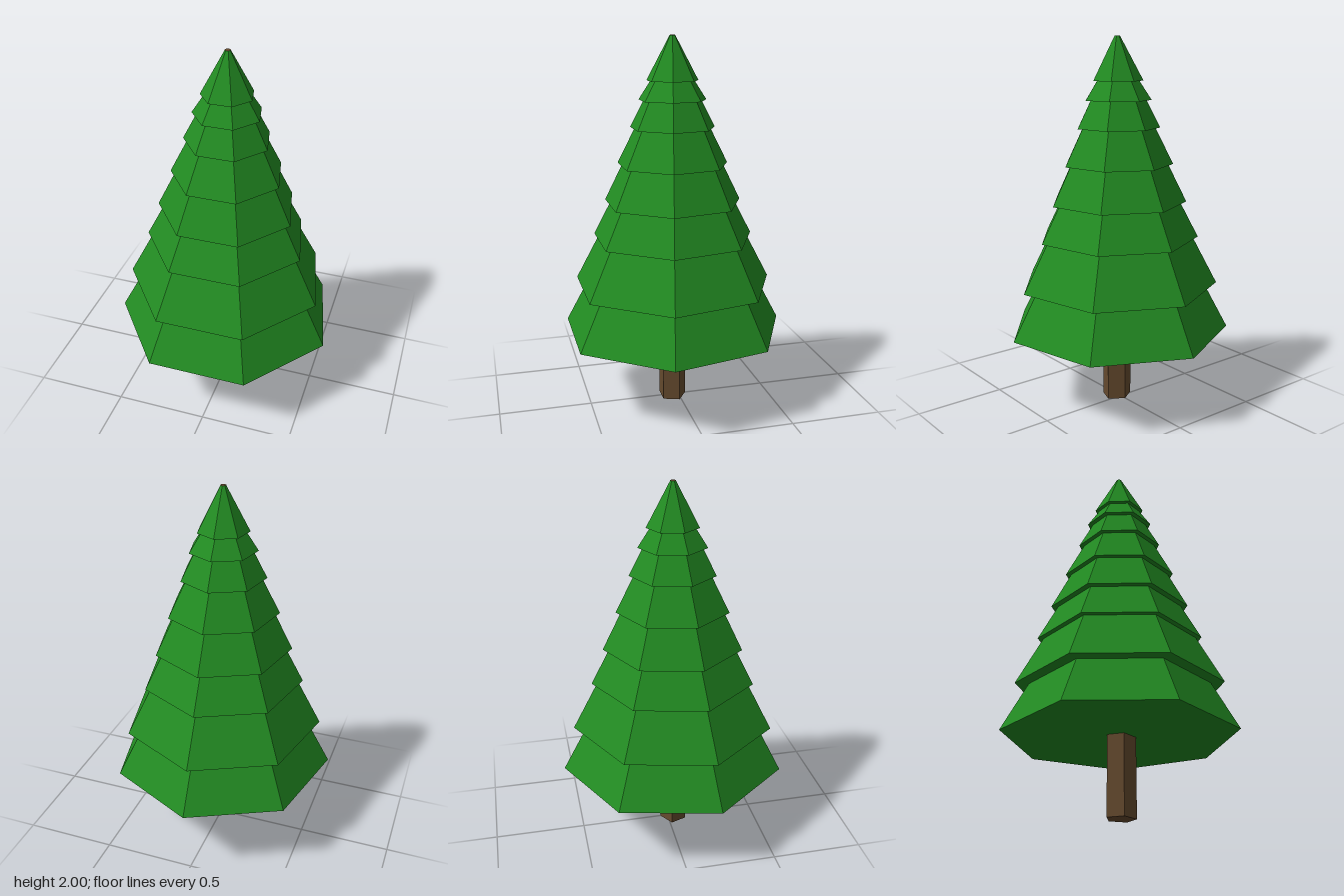
import * as THREE from 'three';

export function createModel() {
  const tree = new THREE.Group();
  tree.name = 'pineTree';

  const green = new THREE.MeshStandardMaterial({ color: 0x228b22, flatShading: true });
  green.name = 'needleGreen';
  const brown = new THREE.MeshStandardMaterial({ color: 0x654a2e, flatShading: true });
  brown.name = 'barkBrown';

  const add = (name, geometry, material, z) => {
    const mesh = new THREE.Mesh(geometry, material);
    mesh.name = name;
    mesh.position.z = z;
    tree.add(mesh);
    return mesh;
  };

  // Five-sided trunk, flat side to the front, running up inside the foliage
  const trunkHeight = 1.855;
  const trunk = new THREE.CylinderGeometry(0.084, 0.084, trunkHeight, 5, 1, false, Math.PI);
  trunk.scale(1, 1, 0.905).translate(0, trunkHeight / 2, 0);
  add('trunk', trunk, brown, 0.034);

  // Foliage tiers: [bottom height, bottom radius, top radius]
  const tiers = [
    [0.415, 0.607, 0.472],
    [0.67, 0.543, 0.407],
    [0.93, 0.437, 0.336],
    [1.125, 0.371, 0.27],
    [1.33, 0.298, 0.2],
    [1.525, 0.227, 0.152],
    [1.67, 0.18, 0.115],
    [1.77, 0.137, 0.014],
  ];
  const topY = 2;

  // Seven-sided saw-tooth profile with flat undersides
  const profile = [new THREE.Vector2(0, tiers[0][0])];
  tiers.forEach(([y, bottom, top], i) => {
    const nextY = i + 1 < tiers.length ? tiers[i + 1][0] : topY;
    profile.push(new THREE.Vector2(bottom, y), new THREE.Vector2(top, nextY));
  });
  const foliage = new THREE.LatheGeometry(profile, 7, Math.PI);
  foliage.scale(1, 1, 1.016);
  add('foliage', foliage, green, 0.028);

  // Small bare tip closing the top
  const tip = new THREE.CircleGeometry(0.015, 12).rotateX(-Math.PI / 2).translate(0, topY, 0);
  add('tip', tip, brown, 0.028);

  return tree;
}
